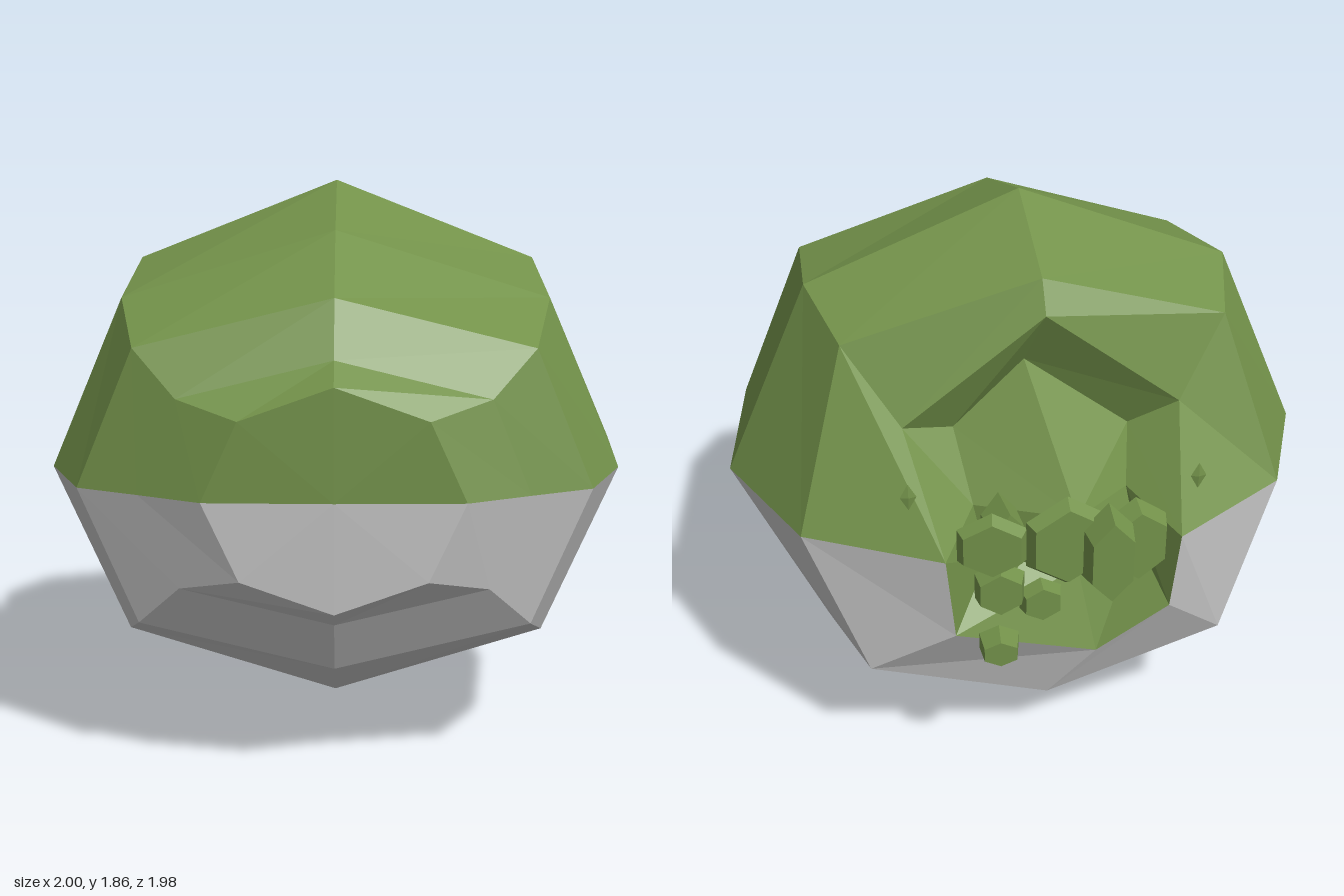
import * as THREE from 'three';

const SEAM = 0.93;

// Octagonal section, clockwise from the top as seen from the front
function octagon(z, top, shoulderX, shoulderY, sideX) {
  const low = (y) => 2 * SEAM - y;
  return [
    [0, top, z], [shoulderX, shoulderY, z], [sideX, SEAM, z], [shoulderX, low(shoulderY), z],
    [0, low(top), z], [-shoulderX, low(shoulderY), z], [-sideX, SEAM, z], [-shoulderX, shoulderY, z],
  ];
}

// Flat-shaded skin between successive sections, for the chosen segments
function skin(rings, segments, material, name) {
  const pos = [];
  const tri = (a, b, c) => {
    const area = new THREE.Triangle(...[a, b, c].map((p) => new THREE.Vector3(...p))).getArea();
    if (area > 1e-6) pos.push(...a, ...b, ...c);
  };
  for (let k = 0; k + 1 < rings.length; k++) {
    for (const i of segments) {
      const j = (i + 1) % 8, f = rings[k], b = rings[k + 1];
      tri(f[i], f[j], b[j]);
      tri(f[i], b[j], b[i]);
    }
  }
  const g = new THREE.BufferGeometry();
  g.setAttribute('position', new THREE.Float32BufferAttribute(pos, 3));
  g.computeVertexNormals();
  const mesh = new THREE.Mesh(g, material);
  mesh.name = name;
  return mesh;
}

export function createModel() {
  const green = new THREE.MeshStandardMaterial({ color: 0x73924a });
  green.name = 'mossGreen';
  const grey = new THREE.MeshStandardMaterial({ color: 0xc6c6c6 });
  grey.name = 'stoneGrey';
  const model = new THREE.Group();
  model.name = 'crackedShell';

  // Shell sections from the nose to the torn back rim
  const rim = [
    [0, 1.7, -0.5], [0.62, 1.5, -0.43], [0.79, SEAM, -0.6], [0.6, 0.42, -0.66],
    [0, 0.22, -0.65], [-0.6, 0.42, -0.66], [-0.8, SEAM, -0.57], [-0.62, 1.5, -0.43],
  ];
  const lip = [
    [0, 1.6, -0.56], [0.45, 1.25, -0.54], [0.36, 0.9, -0.79], [0.33, 0.6, -0.77],
    [-0.15, 0.43, -0.72], [-0.38, 0.62, -0.77], [-0.4, 0.9, -0.79], [-0.45, 1.25, -0.53],
  ];
  const shell = [
    Array(8).fill([0, SEAM, 0.985]),
    octagon(0.975, 1.27, 0.28, 1.17, 0.39),
    octagon(0.87, 1.335, 0.47, 1.22, 0.59),
    octagon(0.77, 1.51, 0.61, 1.36, 0.79),
    octagon(0.44, 1.7, 0.69, 1.485, 0.93),
    octagon(-0.135, 1.86, 0.705, 1.585, 1),
    rim, lip,
  ];
  model.add(skin(shell, [6, 7, 0, 1], green, 'upperShell'));
  model.add(skin(shell, [2, 3, 4, 5], grey, 'lowerShell'));

  // Dented hollow at the back with a bulge in its middle
  const hollow = [
    [0.05, 1.42, -0.47], [0.28, 1.2, -0.47], [0.24, 0.98, -0.6], [0.2, 0.78, -0.62],
    [-0.1, 0.72, -0.64], [-0.3, 0.8, -0.62], [-0.27, 0.98, -0.58], [-0.3, 1.15, -0.46],
  ];
  const bulge = Array(8).fill([-0.07, 0.98, -0.74]);
  model.add(skin([lip, hollow, bulge], [0, 1, 2, 3, 4, 5, 6, 7], green, 'backHollow'));

  // Broken chunks floating behind the hollow: centre, size, turn
  const debris = new THREE.Group();
  debris.name = 'debris';
  const chunks = [
    [[-0.12, 0.97, -0.95], [0.16, 0.3, 0.08], 0],
    [[-0.23, 0.95, -0.86], [0.21, 0.26, 0.06], 0.08],
    [[0.0, 1.0, -0.9], [0.26, 0.28, 0.04], 0],
    [[0.23, 1.0, -0.88], [0.22, 0.2, 0.04], -0.15],
    [[0.2, 0.82, -0.85], [0.16, 0.16, 0.06], -0.1],
    [[-0.02, 0.95, -0.82], [0.22, 0.24, 0.05], 0.05],
    [[0.17, 0.95, -0.76], [0.12, 0.25, 0.1], 0.2],
    [[0.05, 0.7, -0.77], [0.14, 0.13, 0.05], 0],
    [[0.2, 0.59, -0.84], [0.13, 0.1, 0.08], -0.1],
  ];
  for (const [p, s, turn] of chunks) {
    // Six-sided slab with a chamfered outline
    const g = new THREE.CylinderGeometry(0.46, 0.56, 1, 6).toNonIndexed();
    g.rotateX(-Math.PI / 2);
    g.computeVertexNormals();
    const chunk = new THREE.Mesh(g, green);
    chunk.name = 'chunk';
    chunk.position.set(...p);
    chunk.scale.set(...s);
    chunk.rotation.y = turn;
    debris.add(chunk);
  }

  // Small slivers either side
  for (const [x, y] of [[0.47, 1.17], [-0.43, 1.14]]) {
    const g = new THREE.OctahedronGeometry(1);
    const sliver = new THREE.Mesh(g, green);
    sliver.name = 'sliver';
    sliver.position.set(x, y, -0.815);
    sliver.scale.set(0.025, 0.045, 0.006);
    debris.add(sliver);
  }
  model.add(debris);
  return model;
}
